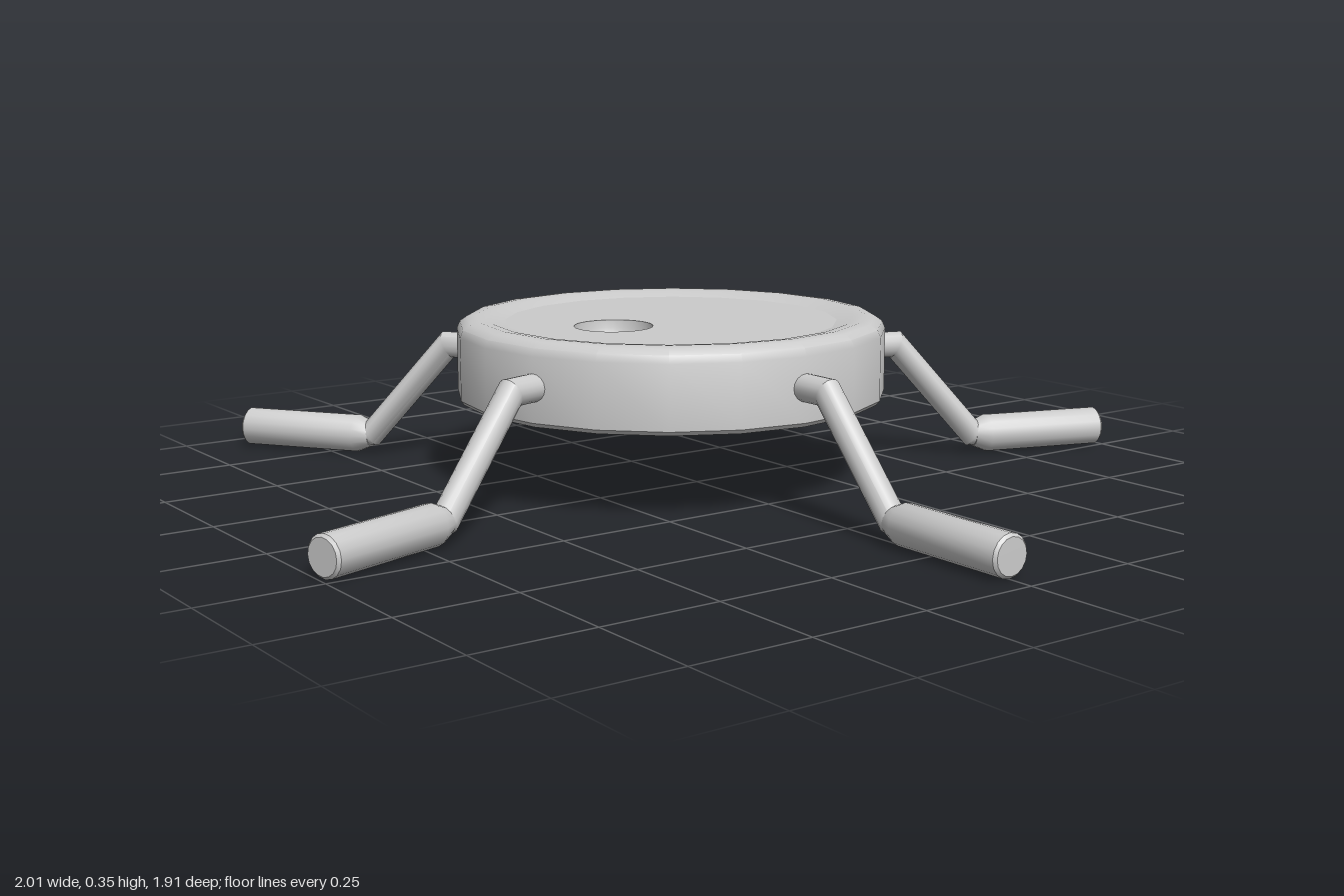
import * as THREE from 'three';
import { toCreasedNormals } from 'three/addons/utils/BufferGeometryUtils.js';

const SIDES = 20;
const DECK_R = 0.36, DECK_Y = 0.343;
const HOLE_X = -0.15, HOLE_R = 0.084;

const v2 = (x, y) => new THREE.Vector2(x, y);

// Round tube swept along a bent path in the y-z plane, mitred at each bend.
// Each station is [z, y, radius].
function sweptTube(stations, sides) {
  const pts = stations.map(([z, y]) => v2(z, y));
  const pos = [], index = [];
  stations.forEach(([z, y, r], i) => {
    const before = pts[i].clone().sub(pts[Math.max(i - 1, 0)]).normalize();
    const after = pts[Math.min(i + 1, pts.length - 1)].clone().sub(pts[i]).normalize();
    const t = before.clone().add(after).normalize();
    const stretch = 1 / Math.max(before.length() ? t.dot(before) : 1, 0.5);
    for (let j = 0; j < sides; j++) {
      const a = (j / sides) * Math.PI * 2;
      const n = r * stretch * Math.cos(a);
      pos.push(r * Math.sin(a), y + t.x * n, z - t.y * n);
      if (i === stations.length - 1) continue;
      const k = (j + 1) % sides;
      const p = i * sides + j, q = i * sides + k;
      index.push(p, p + sides, q, q, p + sides, q + sides);
    }
  });
  const geo = new THREE.BufferGeometry();
  geo.setAttribute('position', new THREE.Float32BufferAttribute(pos, 3));
  geo.setIndex(index);
  return toCreasedNormals(geo, 0.6);
}

export function createModel() {
  const material = new THREE.MeshStandardMaterial({ color: 0xcccccc });
  const model = new THREE.Group();
  model.name = 'fiveLeggedDisc';

  const hub = new THREE.Group();
  hub.name = 'hub';
  hub.position.z = -0.095;
  model.add(hub);

  const add = (name, geometry, parent = hub) => {
    const mesh = new THREE.Mesh(geometry, material);
    mesh.name = name;
    parent.add(mesh);
    return mesh;
  };

  // Disc: flat underside, straight wall, rounded rim with a shallow dish inside
  const profile = [
    [0, 0.181], [0.458, 0.181], [0.465, 0.19], [0.465, 0.325], [0.458, 0.341],
    [0.442, 0.352], [0.42, 0.355], [0.395, 0.352], [DECK_R, DECK_Y],
  ].map(([r, y]) => v2(r, y));
  add('disc', toCreasedNormals(new THREE.LatheGeometry(profile, SIDES), 0.6));

  // Flat deck with a round opening
  const outline = Array.from({ length: SIDES }, (_, i) => {
    const a = (i / SIDES) * Math.PI * 2;
    return v2(DECK_R * Math.cos(a), DECK_R * Math.sin(a));
  });
  const deck = new THREE.Shape(outline);
  deck.holes.push(new THREE.Path().absarc(HOLE_X, 0, HOLE_R, 0, Math.PI * 2, true));
  const deckGeo = new THREE.ShapeGeometry(deck, 16);
  deckGeo.rotateX(-Math.PI / 2);
  deckGeo.translate(0, DECK_Y, 0);
  add('deck', deckGeo);

  // Hemispherical socket below the opening
  const bowl = Array.from({ length: 9 }, (_, i) => {
    const a = (i / 8) * Math.PI / 2;
    return v2(i === 8 ? 0 : HOLE_R * Math.cos(a), -HOLE_R * Math.sin(a));
  });
  add('socket', new THREE.LatheGeometry(bowl, 32)).position.set(HOLE_X, DECK_Y, 0);

  // Legs: short stub, sloping strut, thicker horizontal foot
  const strutGeo = sweptTube([
    [0.4, 0.262, 0.029], [0.53, 0.262, 0.029], [0.725, 0.046, 0.029], [0.74, 0.046, 0.029],
  ], 16);
  const footGeo = sweptTube([
    [0.728, 0.043, 0], [0.728, 0.043, 0.029], [0.762, 0.043, 0.043],
    [1.04, 0.043, 0.043], [1.046, 0.043, 0.037], [1.0461, 0.043, 0],
  ], 16);
  for (let i = 0; i < 5; i++) {
    const leg = new THREE.Group();
    leg.name = 'leg' + (i + 1);
    leg.rotation.y = (i / 5) * Math.PI * 2;
    add('strut', strutGeo, leg);
    add('foot', footGeo, leg);
    hub.add(leg);
  }
  return model;
}
